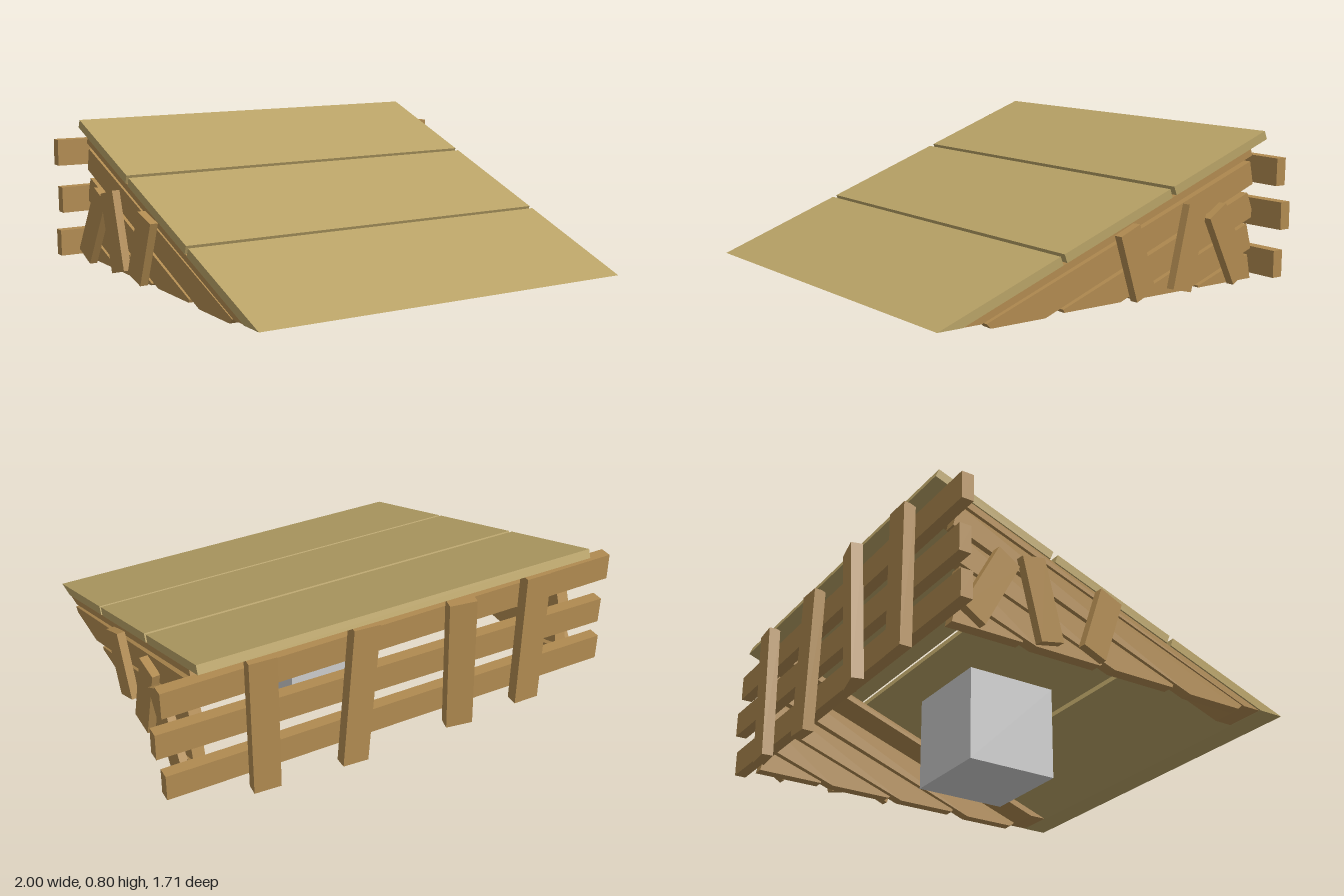
import * as THREE from 'three';

const wood = new THREE.MeshStandardMaterial({ color: 0xb08a50 });
const deckWood = new THREE.MeshStandardMaterial({ color: 0xb8a266 });
const grey = new THREE.MeshStandardMaterial({ color: 0xcccccc });

// Side profile given as [z, y] points, extruded across x from x0 to x1
function profile(name, points, x0, x1, material) {
  const shape = new THREE.Shape(points.map(([z, y]) => new THREE.Vector2(z, y)));
  const geometry = new THREE.ExtrudeGeometry(shape, { depth: x1 - x0, bevelEnabled: false });
  geometry.rotateY(-Math.PI / 2).translate(x1, 0, 0);
  const mesh = new THREE.Mesh(geometry, material);
  mesh.name = name;
  return mesh;
}

function box(name, size, position, rotation, material) {
  const mesh = new THREE.Mesh(new THREE.BoxGeometry(...size), material);
  mesh.name = name;
  mesh.position.set(...position);
  mesh.rotation.set(...rotation, 'YXZ');
  return mesh;
}

// Height of the ramp surface at a given z
const SLOPE = 0.366;
const rampY = (z) => 0.2 + SLOPE * (0.85 - z);

export function createModel() {
  const group = new THREE.Group();

  // Three deck planks; the lowest has a flat cut at its foot
  const deck = new THREE.Group();
  deck.name = 'rampDeck';
  const t = 0.04, lean = 0.014;
  const under = (z) => [z - lean, rampY(z - lean) - t];
  [[0.85, 0.295], [0.277, -0.257], [-0.278, -0.787]].forEach(([z0, z1], i) => {
    const foot = i === 0 ? [0.74, 0.2] : under(z0);
    deck.add(profile('deckPlank', [[z0, rampY(z0)], foot, under(z1), [z1, rampY(z1)]], -0.87, 0.835, deckWood));
  });
  group.add(deck);

  // Sloping boards on both sides, cut flat at the bottom
  const boards = [
    [[0.64, 0.2], [0.62, 0.18], [0.37, 0.18], [-0.72, 0.585], [-0.7, 0.68]],
    [[0.285, 0.2], [0.28, 0.187], [0, 0.187], [-0.73, 0.45], [-0.69, 0.55]],
    [[-0.06, 0.195], [-0.07, 0.187], [-0.36, 0.187], [-0.72, 0.315], [-0.69, 0.42]],
    [[-0.42, 0.195], [-0.42, 0.187], [-0.72, 0.187], [-0.7, 0.29]],
  ];
  const joist = [[0.735, 0.2], [0.655, 0.2], [-0.72, rampY(-0.72) - 0.072], [-0.71, rampY(-0.71) - t]];
  // Cross slats: top [z, y], bottom [z, y]
  const slats = [
    [[-0.005, 0.475], [-0.1, 0.205]],
    [[-0.37, 0.53], [-0.285, 0.2]],
    [[-0.47, 0.503], [-0.63, 0.21]],
  ];
  for (const side of [1, -1]) {
    const frame = new THREE.Group();
    frame.name = side > 0 ? 'leftSide' : 'rightSide';
    const x0 = side > 0 ? 0.79 : -0.865;
    boards.forEach((b) => frame.add(profile('sideBoard', b, x0, x0 + 0.05, wood)));
    const j0 = side > 0 ? 0.66 : -0.865;
    frame.add(profile('joist', joist, j0, j0 + 0.172, wood));
    slats.forEach(([top, bottom]) => {
      const dz = top[0] - bottom[0], dy = top[1] - bottom[1];
      frame.add(box('sideSlat', [0.035, Math.hypot(dz, dy), 0.11],
        [side > 0 ? 0.864 : -0.892, (top[1] + bottom[1]) / 2, (top[0] + bottom[0]) / 2 - (side > 0 ? 0 : 0.03)],
        [Math.atan2(dz, dy), 0.09, 0], wood));
    });
    group.add(frame);
  }

  // Back fence: rails [left end, right end, y at left end, y at right end]
  const back = new THREE.Group();
  back.name = 'backFence';
  [[-1, 0.97, 0.668, 0.648], [-0.987, 1, 0.458, 0.472], [-1, 0.97, 0.267, 0.267]].forEach(([a, b, ya, yb]) => {
    back.add(box('backRail', [b - a, 0.113, 0.05], [(a + b) / 2, (ya + yb) / 2, -0.742],
      [0, 0, Math.atan2(yb - ya, b - a)], wood));
  });

  // Uprights: [top x, bottom x, bottom y, z, pitch, yaw]
  [
    [-0.612, -0.612, 0.155, -0.794, 0, 0],
    [-0.25, -0.28, 0.152, -0.812, -0.035, -0.2],
    [0.16, 0.195, 0.125, -0.792, 0, 0],
    [0.592, 0.58, 0.147, -0.799, -0.01, -0.07],
  ].forEach(([xt, xb, yb, z, pitch, yaw]) => {
    const h = 0.762 - yb;
    back.add(box('backUpright', [0.112, h, 0.05], [(xt + xb) / 2, yb + h / 2, z],
      [pitch, yaw, Math.atan2(xb - xt, h)], wood));
  });
  group.add(back);

  // Block beneath the ramp
  group.add(box('supportBlock', [0.406, 0.406, 0.406], [-0.016, 0.203, -0.038], [0, 0, 0], grey));
  return group;
}
